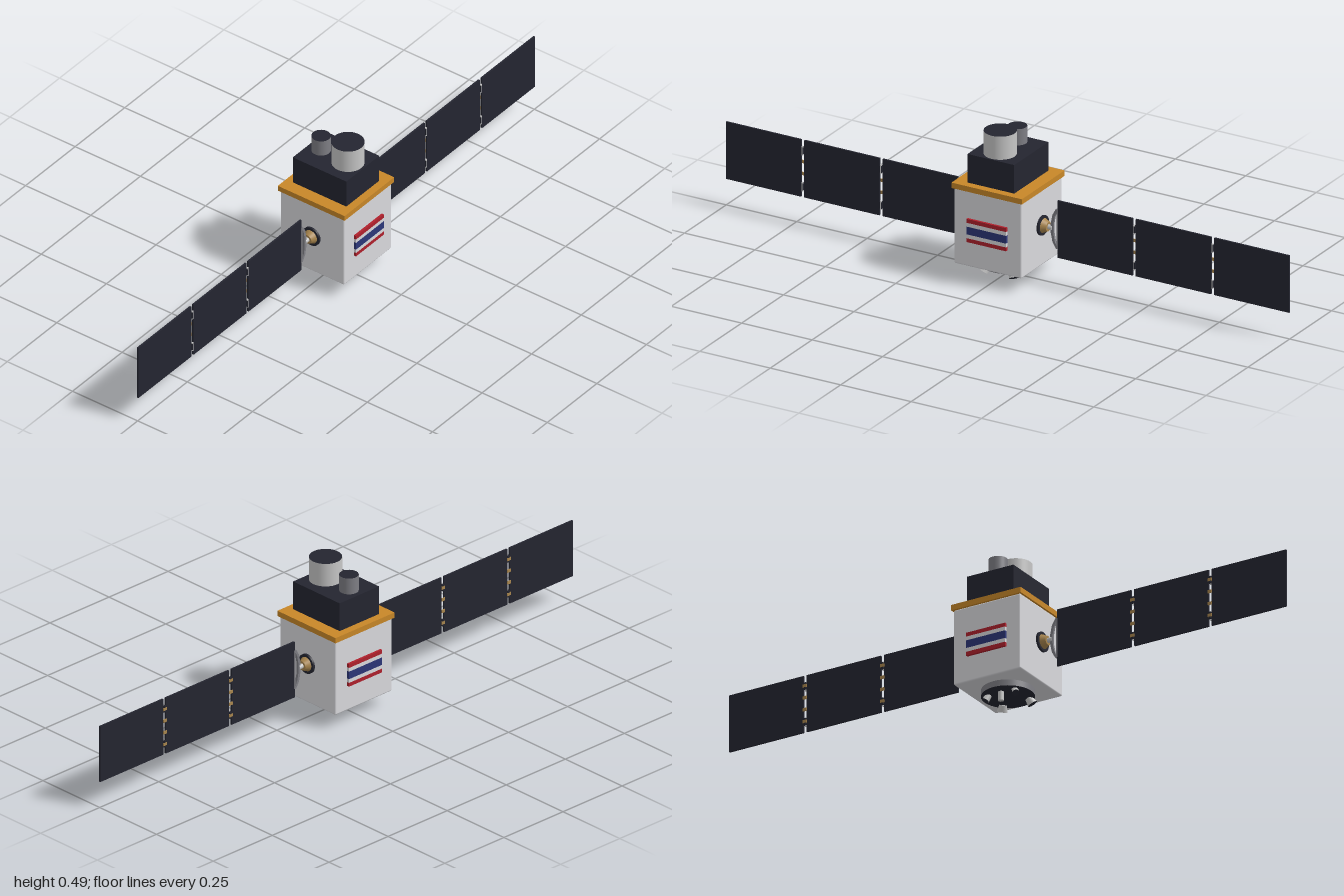
import * as THREE from 'three';
import { RoundedBoxGeometry } from 'three/addons/geometries/RoundedBoxGeometry.js';

const paint = (name, color) => {
  const m = new THREE.MeshStandardMaterial({ color });
  m.name = name;
  return m;
};

export function createModel() {
  const white = paint('white', 0xd9d9dd);
  const silver = paint('silver', 0xc6c6c6);
  const grey = paint('grey', 0x7e7e84);
  const dark = paint('dark', 0x242530);
  const gold = paint('gold', 0xc88728);
  const brass = paint('brass', 0xa9864e);
  const red = paint('red', 0xb0202c);
  const blue = paint('blue', 0x2c3678);

  const model = new THREE.Group();
  const add = (name, geometry, material, x, y, z, parent = model) => {
    const mesh = new THREE.Mesh(geometry, material);
    mesh.name = name;
    mesh.position.set(x, y, z);
    parent.add(mesh);
    return mesh;
  };
  const box = (w, h, d) => new THREE.BoxGeometry(w, h, d);
  const cylinder = (top, bottom, h, sides = 40) => new THREE.CylinderGeometry(top, bottom, h, sides);

  // Body, gold deck and instrument housing
  add('body', new RoundedBoxGeometry(0.244, 0.252, 0.24, 3, 0.005), white, 0, 0.175, 0);
  add('deck', box(0.256, 0.018, 0.25), gold, 0, 0.309, 0);
  add('instrumentHousing', box(0.205, 0.095, 0.166), dark, 0, 0.3655, 0);

  // Telescopes: cylinder groups are side, top cap, bottom cap
  add('largeTelescope', cylinder(0.051, 0.051, 0.079), [silver, dark, dark], 0.046, 0.4505, 0);
  add('smallTelescope', cylinder(0.03, 0.03, 0.056), [grey, dark, dark], -0.057, 0.439, 0);

  // Striped panels on both sides
  const stripes = [[red, 1], [white, 1], [blue, 2], [white, 1], [red, 1]];
  for (const side of [-1, 1]) {
    let y = 0.21;
    for (const [material, share] of stripes) {
      const h = share * 0.077 / 6;
      add('sideStripe', box(0.008, h, 0.14), material, side * 0.126, y - h / 2, 0);
      y -= h;
    }
  }

  // Flat yoke frame that joins the drive to a wing
  const yokeShape = new THREE.Shape([
    [0, -0.016], [0.006, -0.045], [0.018, -0.066], [0.026, -0.066],
    [0.026, 0.066], [0.018, 0.066], [0.006, 0.045], [0, 0.016],
  ].map(([u, v]) => new THREE.Vector2(u, v)));
  yokeShape.holes.push(new THREE.Path([
    [0.009, -0.016], [0.014, -0.042], [0.021, -0.058],
    [0.021, 0.058], [0.014, 0.042], [0.009, 0.016],
  ].map(([u, v]) => new THREE.Vector2(u, v))));
  const yokeGeometry = new THREE.ExtrudeGeometry(yokeShape, { depth: 0.008, bevelEnabled: false });
  yokeGeometry.translate(0, 0, -0.004);

  // Solar wings, front and back
  for (const side of [-1, 1]) {
    const wing = new THREE.Group();
    wing.name = side > 0 ? 'frontWing' : 'backWing';
    model.add(wing);
    const yAxis = 0.183;
    add('driveRing', cylinder(0.032, 0.032, 0.008), dark, 0, yAxis, side * 0.123, wing).rotation.x = Math.PI / 2;
    add('driveHub', cylinder(0.015, 0.024, 0.018), brass, 0, yAxis, side * 0.135, wing).rotation.x = side * Math.PI / 2;
    add('driveShaft', cylinder(0.008, 0.008, 0.018, 20), silver, 0, yAxis, side * 0.15, wing).rotation.x = Math.PI / 2;
    add('yoke', yokeGeometry, grey, 0, yAxis, side * 0.154, wing).rotation.y = -side * Math.PI / 2;

    for (let i = 0; i < 3; i++) {
      const start = 0.177 + i * 0.278;
      add('solarPanel', box(0.006, 0.19, 0.267), dark, 0, yAxis, side * (start + 0.1335), wing);
      if (i === 0) continue;
      // Hinges across the gap, with small brass clips on one face
      const gap = side * (start - 0.0055);
      for (const dy of [-0.06, 0.06]) {
        add('hinge', box(0.011, 0.022, 0.008), dark, 0, yAxis + dy, gap, wing);
        add('hingePin', cylinder(0.003, 0.003, 0.03, 12), silver, 0.003, yAxis + dy, gap, wing);
      }
      for (const dy of [-0.06, -0.02, 0.02, 0.06]) {
        add('hingeClip', box(0.003, 0.01, 0.014), brass, -0.0045, yAxis + dy, gap, wing);
      }
    }
  }

  // Base ring with a dark underside
  add('baseRing', cylinder(0.083, 0.083, 0.021, 48), [grey, grey, dark], 0, 0.0395, 0);

  // Tilted thrusters, pointing outwards from the base
  const thruster = (x, z, radius) => {
    const group = new THREE.Group();
    group.name = 'thruster';
    group.position.set(x, 0.031, z);
    const direction = new THREE.Vector3(x * 0.5, -0.05, z * 0.5).normalize();
    group.quaternion.setFromUnitVectors(new THREE.Vector3(0, -1, 0), direction);
    model.add(group);
    add('nozzle', cylinder(radius * 0.75, radius, 0.022, 24), [silver, silver, dark], 0, -0.011, 0, group);
  };
  for (const side of [-1, 1]) {
    thruster(0.046, side * 0.046, 0.016);
    thruster(-0.036, side * 0.046, 0.012);
  }
  add('antenna', cylinder(0.009, 0.009, 0.031, 20), silver, -0.041, 0.0155, 0);

  return model;
}
